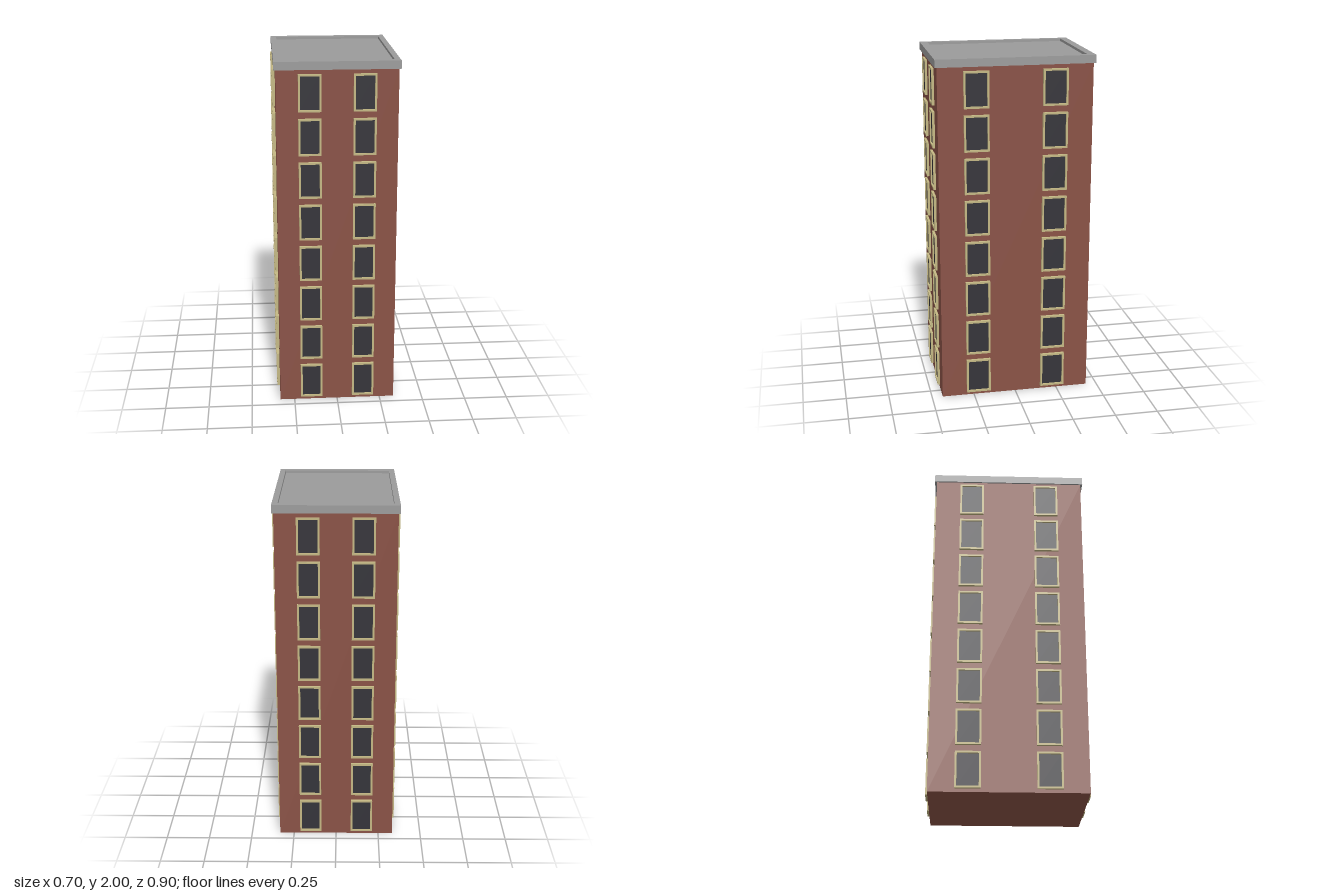
import * as THREE from 'three';

const material = (name, color) => {
  const m = new THREE.MeshStandardMaterial({ color });
  m.name = name;
  return m;
};

// Closed rectangle outline centred on the origin
function rect(PathType, w, h) {
  const p = new PathType();
  p.moveTo(-w / 2, -h / 2);
  p.lineTo(w / 2, -h / 2);
  p.lineTo(w / 2, h / 2);
  p.lineTo(-w / 2, h / 2);
  p.closePath();
  return p;
}

// Rectangular ring extruded along +z
function ring(w, h, innerW, innerH, depth) {
  const shape = rect(THREE.Shape, w, h);
  shape.holes.push(rect(THREE.Path, innerW, innerH));
  return new THREE.ExtrudeGeometry(shape, { depth, bevelEnabled: false });
}

export function createModel() {
  const brick = material('brick', 0x8a5246);
  const concrete = material('roof grey', 0x9b9b9b);
  const trim = material('window trim', 0xc4b884);
  const glass = material('dark glass', 0x35343a);

  const model = new THREE.Group();
  model.name = 'apartmentTower';
  const add = (parent, name, geometry, mat) => {
    const mesh = new THREE.Mesh(geometry, mat);
    mesh.name = name;
    parent.add(mesh);
    return mesh;
  };

  // Brick body
  const halfX = 0.333, halfZ = 0.437, wallTop = 1.955;
  add(model, 'walls', new THREE.BoxGeometry(halfX * 2, wallTop, halfZ * 2), brick)
    .position.y = wallTop / 2;

  // Flat roof with a raised rim
  add(model, 'roofDeck', new THREE.BoxGeometry(0.64, 0.03, 0.83), concrete)
    .position.y = wallTop + 0.015;
  const rim = add(model, 'roofRim', ring(0.685, 0.898, 0.62, 0.81, 2 - wallTop), concrete);
  rim.rotation.x = -Math.PI / 2;
  rim.position.y = wallTop;

  // Two columns of eight windows on each wall
  const floors = 8, firstY = 0.123, storey = 0.2437, height = 0.206, border = 0.011;
  const facades = [
    { name: 'front', angle: 0, out: halfZ, offset: 0.15, width: 0.126, depth: 0.014 },
    { name: 'left', angle: Math.PI / 2, out: halfX, offset: 0.222, width: 0.142, depth: 0.016 },
    { name: 'back', angle: Math.PI, out: halfZ, offset: 0.15, width: 0.126, depth: 0.014 },
    { name: 'right', angle: -Math.PI / 2, out: halfX, offset: 0.222, width: 0.142, depth: 0.016 },
  ];
  for (const f of facades) {
    const facade = new THREE.Group();
    facade.name = f.name + 'Windows';
    facade.rotation.y = f.angle;
    model.add(facade);

    const innerW = f.width - border * 2, innerH = height - border * 2;
    const frameGeo = ring(f.width, height, innerW, innerH, f.depth);
    const paneGeo = new THREE.BoxGeometry(innerW, innerH, 0.006);
    for (let i = 0; i < floors; i++) {
      for (const side of [-1, 1]) {
        const win = new THREE.Group();
        win.name = 'window';
        win.position.set(side * f.offset, firstY + i * storey, f.out);
        add(win, 'windowFrame', frameGeo, trim);
        add(win, 'windowPane', paneGeo, glass).position.z = 0.003;
        facade.add(win);
      }
    }
  }
  return model;
}
